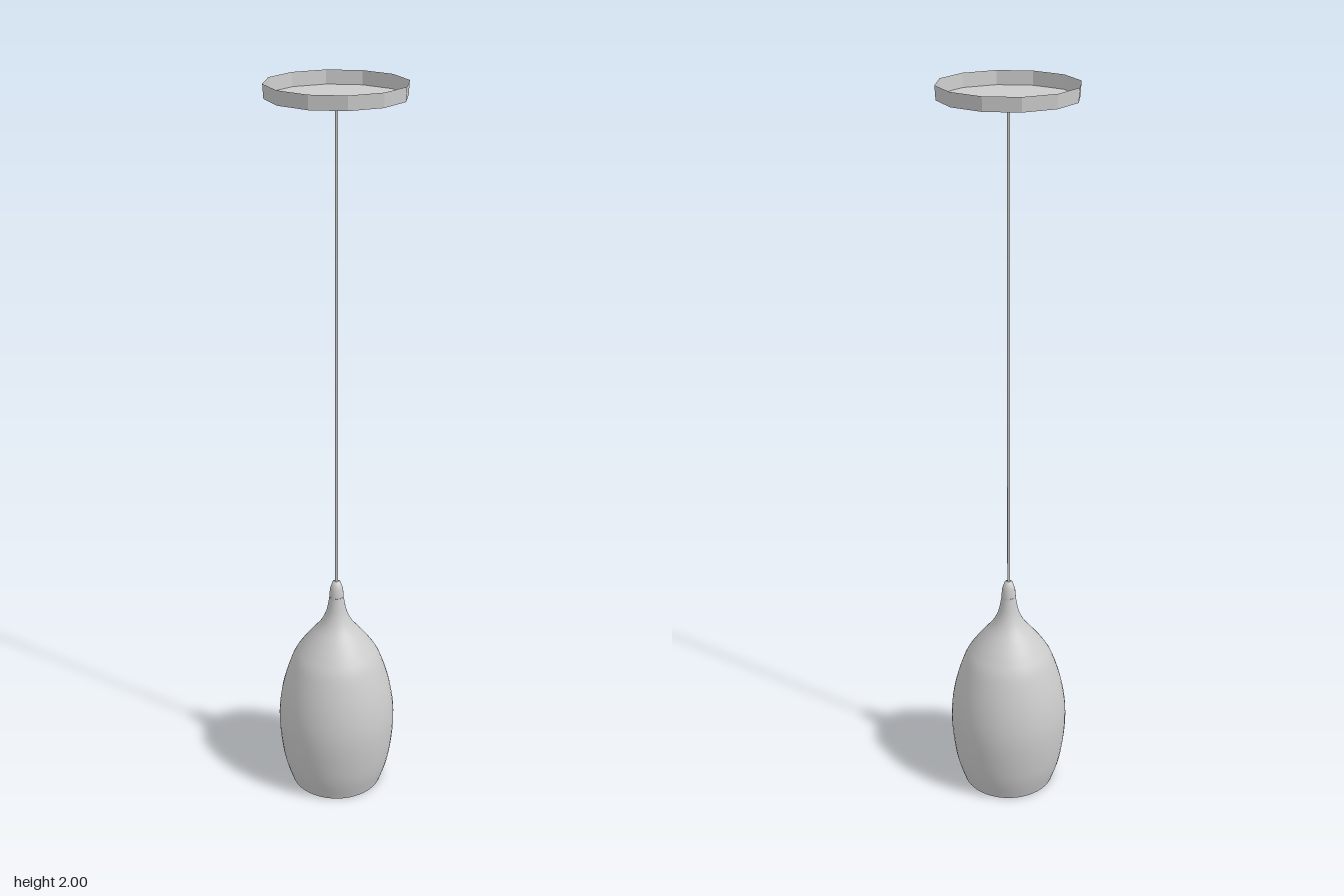
import * as THREE from 'three';

export function createModel() {
  const group = new THREE.Group();
  group.name = 'pendantLamp';
  const smooth = new THREE.MeshStandardMaterial({ color: 0xcccccc, side: THREE.DoubleSide });
  const faceted = new THREE.MeshStandardMaterial({ color: 0xcccccc, side: THREE.DoubleSide, flatShading: true });
  const add = (name, geometry, material, y = 0) => {
    const mesh = new THREE.Mesh(geometry, material);
    mesh.name = name;
    mesh.position.y = y;
    group.add(mesh);
  };
  const points = (list) => list.map(([r, y]) => new THREE.Vector2(r, y));
  // Smooth turned surface through a few radius / height pairs
  const turned = (list, steps, sides) =>
    new THREE.LatheGeometry(new THREE.SplineCurve(points(list)).getPoints(steps), sides);

  // Ceiling canopy: shallow twelve-sided dish, open at the top
  add('canopy', new THREE.LatheGeometry(points([[0, 1.965], [0.174, 1.965], [0.176, 2]]), 12), faceted);

  // Cable, reaching just through the canopy floor
  add('cable', new THREE.CylinderGeometry(0.004, 0.004, 1.33, 8), smooth, 1.302);

  // Shade: open bulb, then a flared neck
  add('shadeBody', turned([
    [0.13, 0], [0.153, 0.08], [0.165, 0.2], [0.155, 0.3], [0.127, 0.395], [0.1, 0.443], [0.068, 0.485],
  ], 28, 48), smooth);
  add('shadeNeck', turned([
    [0.068, 0.485], [0.045, 0.515], [0.029, 0.55], [0.021, 0.59], [0.02, 0.6],
  ], 14, 48), smooth);

  // Cable grip on top of the neck
  add('cableGrip', new THREE.LatheGeometry(
    points([[0.02, 0.6], [0.018, 0.625], [0.011, 0.645], [0, 0.646]]), 16), smooth);

  return group;
}
